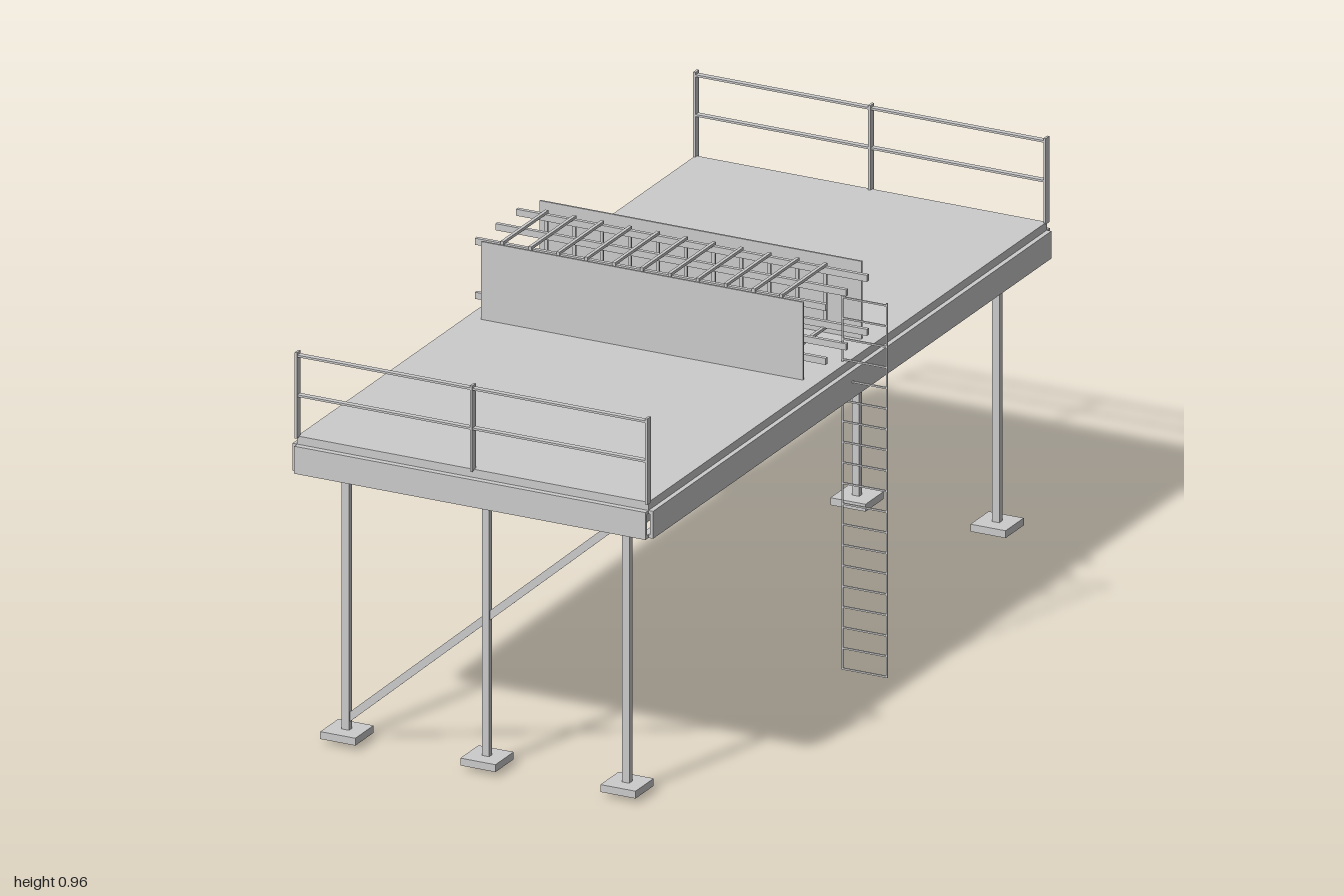
import * as THREE from 'three';

const material = new THREE.MeshStandardMaterial({ color: 0xcccccc, flatShading: true });

// Axis-aligned box given by its limits on each axis
function block(parent, name, [x0, x1], [y0, y1], [z0, z1]) {
  const mesh = new THREE.Mesh(new THREE.BoxGeometry(x1 - x0, y1 - y0, z1 - z0), material);
  mesh.position.set((x0 + x1) / 2, (y0 + y1) / 2, (z0 + z1) / 2);
  mesh.name = name;
  parent.add(mesh);
  return mesh;
}

const around = (c, size) => [c - size / 2, c + size / 2];

function group(parent, name) {
  const g = new THREE.Group();
  g.name = name;
  parent.add(g);
  return g;
}

// Channel section (web outside, flanges inwards) extruded along local z
function channel(parent, name, length, height, flange, thick) {
  const s = new THREE.Shape();
  [[0, 0], [flange, 0], [flange, thick], [thick, thick], [thick, height - thick],
    [flange, height - thick], [flange, height], [0, height]]
    .forEach(([x, y], i) => (i ? s.lineTo(x, y) : s.moveTo(x, y)));
  const geo = new THREE.ExtrudeGeometry(s, { depth: length, bevelEnabled: false });
  geo.translate(0, 0, -length / 2);
  const mesh = new THREE.Mesh(geo, material);
  mesh.name = name;
  parent.add(mesh);
  return mesh;
}

export function createModel() {
  const model = new THREE.Group();
  model.name = 'platform';
  const midX = -0.047;

  // Deck plate on a perimeter frame of channels
  const deck = group(model, 'deck');
  block(deck, 'deckPlate', [-0.497, 0.403], [0.732, 0.753], [-0.985, 0.985]);
  const frameY = 0.666, frameH = 0.067;
  for (const s of [-1, 1]) {
    const side = channel(deck, 'sideBeam', 1.97, frameH, 0.03, 0.008);
    side.position.set(midX + s * 0.462, frameY, 0);
    side.rotation.y = s > 0 ? Math.PI : 0;
    const end = channel(deck, 'endBeam', 0.9, frameH, 0.03, 0.008);
    end.position.set(midX, frameY, s * 1.0);
    end.rotation.y = s * Math.PI / 2;
  }

  // Legs with foot and head plates, and one diagonal brace per end
  const supports = group(model, 'supports');
  for (const z of [-0.915, 0.915]) {
    for (const x of [-0.406, -0.047, 0.312]) {
      const leg = group(supports, 'leg');
      block(leg, 'post', around(x, 0.019), [0.025, 0.67], around(z, 0.015));
      block(leg, 'footPlate', around(x, 0.09), [0.012, 0.03], around(z, 0.09));
      block(leg, 'headBlock', around(x, 0.09), [0.667, 0.733], around(z, 0.09));
    }
    const a = new THREE.Vector2(-0.402, 0.057), b = new THREE.Vector2(0.305, 0.672);
    const brace = block(supports, 'brace', around(0, a.distanceTo(b)), around(0, 0.018), around(0, 0.006));
    brace.position.set((a.x + b.x) / 2, (a.y + b.y) / 2, z);
    brace.rotation.z = Math.atan2(b.y - a.y, b.x - a.x);
  }

  // Guard rails at both ends
  for (const s of [-1, 1]) {
    const rail = group(model, 'guardRail');
    const z = s * 0.985;
    for (const x of [-0.496, -0.047, 0.402]) {
      block(rail, 'railPost', around(x, 0.006), [0.75, 0.96], around(z, 0.018));
    }
    for (const y of [0.951, 0.854]) {
      block(rail, 'railBar', [-0.496, 0.402], around(y, 0.005), around(z, 0.014));
    }
  }

  // Side panels flanking the rack
  for (const z of [-0.144, 0.144]) {
    block(model, 'sidePanel', [-0.46, 0.365], [0.75, 0.943], around(z, 0.005));
  }

  // Rack: lengthwise rails held by square hoops
  const rack = group(model, 'rack');
  for (const z of [-0.102, 0, 0.102]) {
    for (const y of [0.923, 0.791]) {
      block(rack, 'rackRail', [-0.497, 0.402], around(y, 0.016), around(z, 0.01));
    }
  }
  for (let i = 0; i < 11; i++) {
    const x = around(-0.425 + i * 0.0715, 0.008);
    for (const y of [0.934, 0.781]) {
      block(rack, 'crossBar', x, around(y, 0.007), [-0.11, 0.11]);
    }
    for (const z of [-0.108, 0.108]) {
      block(rack, 'upright', x, [0.778, 0.937], around(z, 0.005));
    }
  }

  // Access ladder standing out from the long edge
  const ladder = group(model, 'ladder');
  for (const x of [0.39, 0.504]) {
    block(ladder, 'ladderStile', around(x, 0.004), [0, 0.915], around(0, 0.004));
  }
  for (let i = 0; i < 19; i++) {
    block(ladder, 'rung', [0.39, 0.504], around(0.002 + i * 0.0504, 0.004), around(0, 0.004));
  }

  return model;
}
